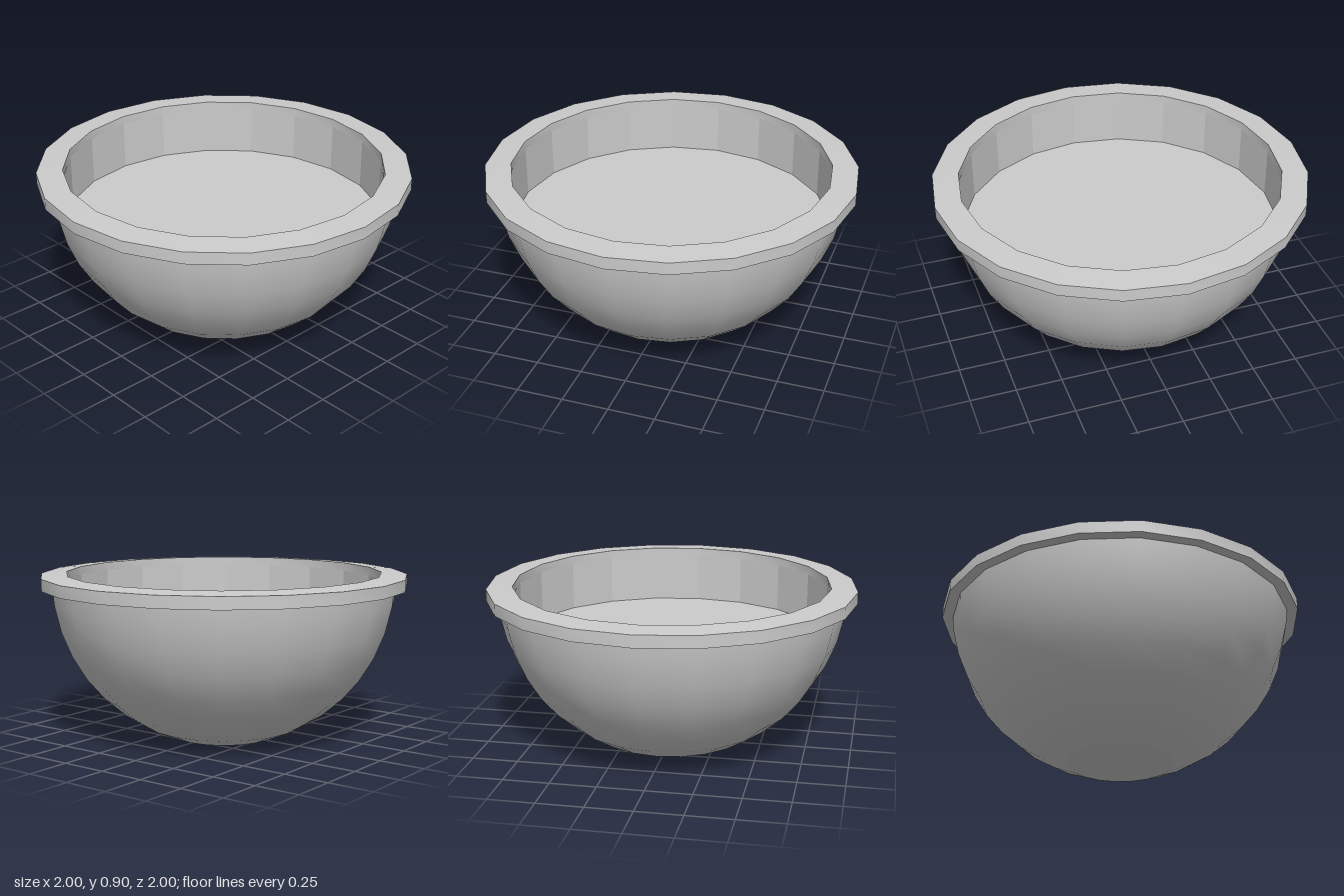
import * as THREE from 'three';
import { toCreasedNormals } from 'three/addons/utils/BufferGeometryUtils.js';

const SIDES = 20;
const BOWL_R = 0.945, CENTRE_Y = 0.9;
const INNER_R = 0.86, FLOOR_Y = 0.59;

const lathe = (points) =>
  new THREE.LatheGeometry(points.map(([r, y]) => new THREE.Vector2(r, y)), SIDES);

export function createModel() {
  const group = new THREE.Group();
  const smooth = new THREE.MeshStandardMaterial({ color: 0xcccccc });
  const faceted = new THREE.MeshStandardMaterial({ color: 0xcccccc, flatShading: true });
  const add = (name, geometry, material) => {
    const mesh = new THREE.Mesh(geometry, material);
    mesh.name = name;
    group.add(mesh);
    return mesh;
  };

  // Outer shell: lower part of a sphere, in steps of 9 degrees
  const shell = [];
  for (let k = 8; k >= 0; k--) {
    const a = THREE.MathUtils.degToRad(9 * k);
    shell.push([BOWL_R * Math.cos(a), Math.max(0, CENTRE_Y - BOWL_R * Math.sin(a))]);
  }
  shell[0][1] = 0;
  shell[shell.length - 1][1] = 0.87; // ends inside the rim
  add('bowlShell', lathe(shell), smooth);

  // Flat foot
  add('base', new THREE.CircleGeometry(shell[0][0], SIDES).rotateX(Math.PI / 2), smooth);

  // Rim ring with a top that rises slightly inwards
  const rim = [
    [INNER_R, 0.86], [0.9, 0.83], [1, 0.83], [1, 0.895], [INNER_R, 0.905], [INNER_R, 0.86],
  ];
  add('rim', toCreasedNormals(lathe(rim), 0.5), smooth);

  // Straight inner wall, and the flat surface filling the bowl
  add('innerWall', lathe([[INNER_R, 0.86], [INNER_R, FLOOR_Y]]), faceted);
  const floor = add('innerFloor', new THREE.CircleGeometry(INNER_R, SIDES).rotateX(-Math.PI / 2), smooth);
  floor.position.y = FLOOR_Y;

  return group;
}
